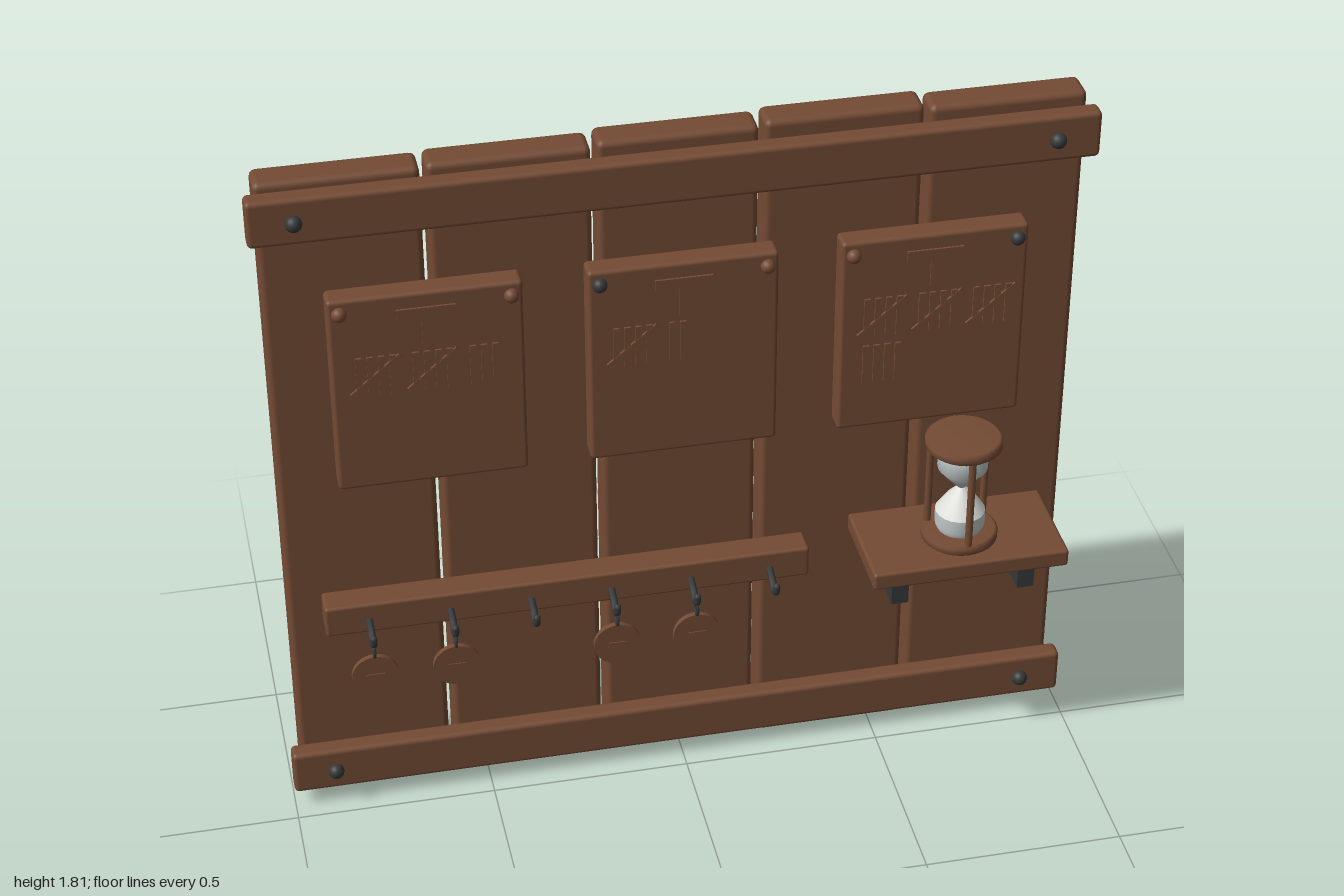
import * as THREE from 'three';
import { RoundedBoxGeometry } from 'three/addons/geometries/RoundedBoxGeometry.js';

const material = (name, color) => {
  const m = new THREE.MeshStandardMaterial({ color });
  m.name = name;
  return m;
};

export function createModel() {
  const wood = material('brown wood', 0x744b34);
  const iron = material('dark iron', 0x36383a);
  const glass = material('pale glass', 0xc3cccb);
  const sand = material('white sand', 0xdedfda);

  const model = new THREE.Group();
  model.name = 'tallyBoard';

  const add = (name, geometry, mat, x, y, z, parent = model) => {
    const mesh = new THREE.Mesh(geometry, mat);
    mesh.name = name;
    mesh.position.set(x, y, z);
    parent.add(mesh);
    return mesh;
  };
  // Softened box given by its limits on each axis
  const block = (name, mat, [x0, x1], [y0, y1], [z0, z1], r = 0.01, parent = model) =>
    add(name, new RoundedBoxGeometry(x1 - x0, y1 - y0, z1 - z0, 2, r), mat,
      (x0 + x1) / 2, (y0 + y1) / 2, (z0 + z1) / 2, parent);
  const group = (name, x = 0, y = 0, z = 0) => {
    const g = new THREE.Group();
    g.name = name;
    g.position.set(x, y, z);
    model.add(g);
    return g;
  };

  // Upright planks, slightly uneven at both ends
  [[0.03, 1.788], [0.027, 1.793], [0.016, 1.802], [0, 1.81], [0.014, 1.802]].forEach((ends, i) => {
    const x = (i - 2) * 0.393;
    block('plank', wood, [x - 0.19, x + 0.19], ends, [-0.175, -0.09], 0.016);
  });

  // Cross battens and their nails
  const nailGeometry = new THREE.SphereGeometry(0.02, 16, 12);
  for (const y of [0.105, 1.71]) {
    block('batten', wood, [-1, 1], [y - 0.06, y + 0.06], [-0.092, -0.041], 0.012);
    for (const x of [-0.893, 0.893]) add('battenNail', nailGeometry, iron, x, y, -0.036);
  }

  // Tally tablets: each row lists the stroke count of its groups
  const tablets = [
    { x: -0.607, rows: [[5, 5, 3]], nails: [wood, wood] },
    { x: 0, rows: [[5, 2]], nails: [iron, wood] },
    { x: 0.607, rows: [[5, 5, 5], [4]], nails: [wood, iron] },
  ];
  const strokeGeometry = new THREE.BoxGeometry(0.015, 0.107, 0.007);
  const slashGeometry = new THREE.BoxGeometry(0.014, 0.155, 0.009);
  const face = -0.029;
  for (const { x, rows, nails } of tablets) {
    const tablet = group('tallyTablet', x);
    block('tablet', wood, [-0.228, 0.228], [0.967, 1.495], [-0.092, -0.031], 0.01, tablet);
    nails.forEach((mat, i) =>
      add('tabletNail', new THREE.SphereGeometry(0.018, 16, 12), mat, i ? 0.2 : -0.2, 1.461, -0.028, tablet));
    // Raised T-shaped mark
    add('markBar', new THREE.BoxGeometry(0.138, 0.027, 0.007), wood, 0, 1.443, face, tablet);
    add('markStem', new THREE.BoxGeometry(0.022, 0.075, 0.007), wood, 0, 1.393, face, tablet);
    rows.forEach((counts, row) => counts.forEach((count, g) => {
      const left = -0.163 + g * 0.134, y = 1.283 - row * 0.132;
      for (let s = 0; s < Math.min(count, 4); s++)
        add('tallyStroke', strokeGeometry, wood, left + s * 0.0265, y, face, tablet);
      if (count === 5)
        add('tallySlash', slashGeometry, wood, left + 0.04, y, face, tablet).rotation.z = -0.87;
    }));
  }

  // Hook rail with six hooks, four of them carrying round tags
  block('hookRail', wood, [-0.893, 0.315], [0.545, 0.63], [-0.092, -0.017], 0.008);
  const hookPath = new THREE.CatmullRomCurve3([
    [0, 0.583, -0.025], [0, 0.572, 0.012], [0, 0.556, 0.04], [0, 0.565, 0.057], [0, 0.583, 0.06],
  ].map(p => new THREE.Vector3(...p)));
  const hookGeometry = new THREE.TubeGeometry(hookPath, 14, 0.009, 8);
  const discGeometry = new THREE.CylinderGeometry(0.058, 0.058, 0.013, 32).rotateX(Math.PI / 2);
  for (let i = 0; i < 6; i++) {
    const hook = group('hook', -0.786 + i * 0.2);
    add('hookRod', hookGeometry, iron, 0, 0, 0, hook);
    add('hookTip', new THREE.SphereGeometry(0.009, 8, 6), iron, 0, 0.583, 0.06, hook);
    if (i === 2 || i === 5) continue;
    add('tagRing', new THREE.TorusGeometry(0.022, 0.004, 6, 16), iron, 0, 0.542, 0.042, hook)
      .rotation.y = Math.PI / 2;
    add('tag', discGeometry, wood, 0, 0.463, 0.045, hook);
    for (const side of [-1, 1])
      add('tagMark', new THREE.BoxGeometry(0.045, 0.013, 0.004), wood, 0, 0.463, 0.045 + side * 0.007, hook);
  }

  // Shelf on two iron brackets
  block('shelf', wood, [0.43, 0.925], [0.62, 0.667], [-0.092, 0.175], 0.008);
  for (const x of [0.517, 0.84])
    add('bracket', new THREE.BoxGeometry(0.043, 0.105, 0.2), iron, x, 0.5715, 0.008);

  // Hourglass
  const hourglass = group('hourglass', 0.676, 0.667, 0.055);
  const lathe = (points, sides) =>
    new THREE.LatheGeometry(points.map(p => new THREE.Vector2(...p)), sides);
  const capGeometry = lathe([[0, 0], [0.087, 0], [0.095, 0.007], [0.095, 0.023], [0.087, 0.03], [0, 0.03]], 32);
  add('baseCap', capGeometry, wood, 0, 0, 0, hourglass);
  add('topCap', capGeometry, wood, 0, 0.27, 0, hourglass);
  for (let i = 0; i < 3; i++) {
    const a = Math.PI / 2 + i * Math.PI * 2 / 3;
    add('post', new THREE.CylinderGeometry(0.009, 0.009, 0.246, 10), wood,
      Math.cos(a) * 0.082, 0.15, Math.sin(a) * 0.082, hourglass);
  }
  add('upperBulb', lathe([[0.01, 0.15], [0.035, 0.178], [0.062, 0.21], [0.062, 0.252], [0.055, 0.272]], 20),
    glass, 0, 0, 0, hourglass);
  add('lowerBulb', lathe([[0.055, 0.028], [0.062, 0.045], [0.062, 0.082]], 20), glass, 0, 0, 0, hourglass);
  add('sandPile', lathe([[0.062, 0.082], [0.035, 0.122], [0.01, 0.15]], 20), sand, 0, 0, 0, hourglass);

  return model;
}
